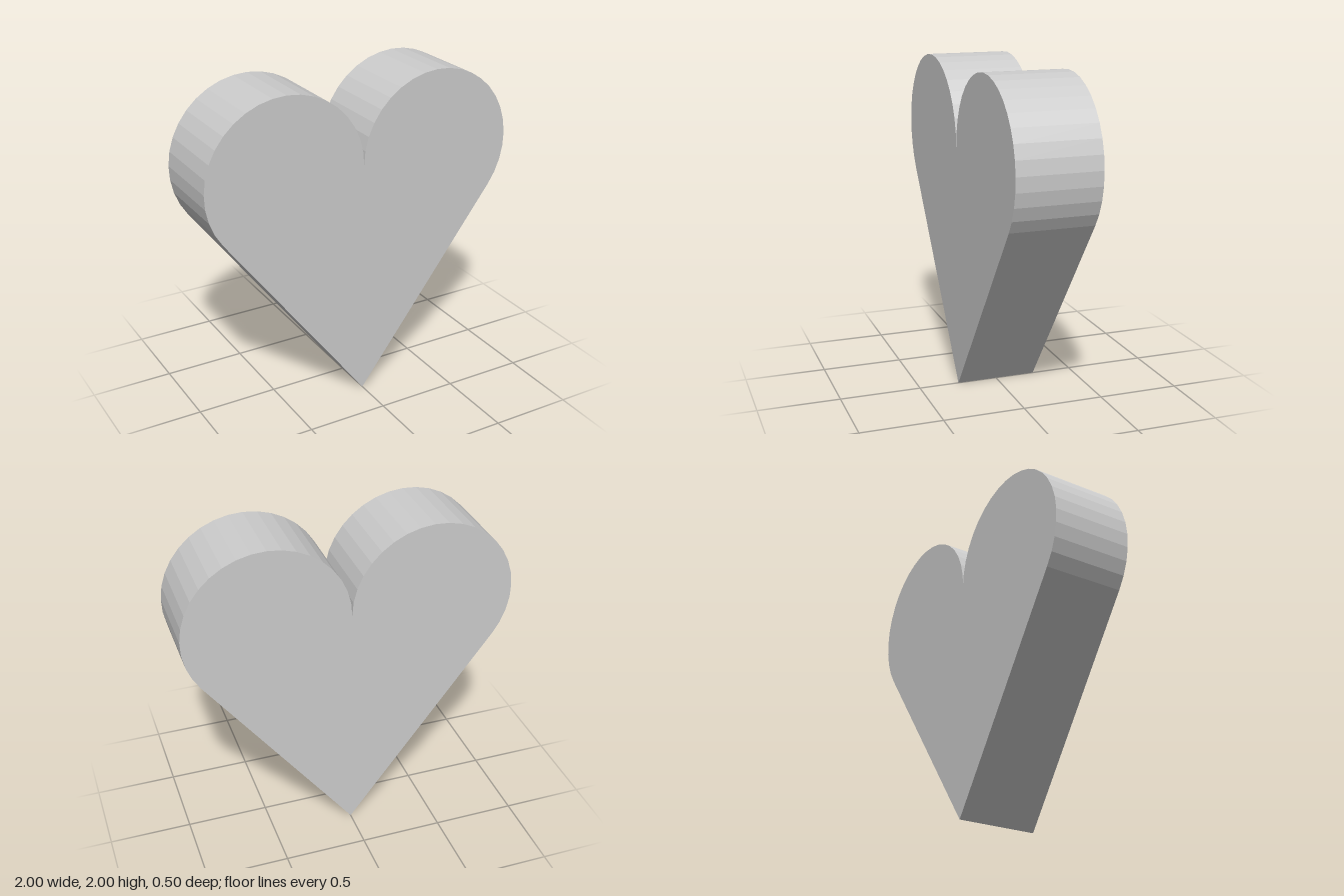
import * as THREE from 'three';

const RADIUS = 0.5;      // lobe radius
const LOBE_Y = 1.5;      // height of the lobe centres
const DEPTH = 0.5;
const FACETS = 22;       // flat facets around each lobe

// Right half of the outline: from the tangent point of the straight side up to the cleft
function lobePoints() {
  const start = -Math.atan2(3, 4);
  const points = [];
  for (let i = 0; i < FACETS; i++) {
    const a = start + (Math.PI - start) * i / FACETS;
    points.push(new THREE.Vector2(RADIUS + RADIUS * Math.cos(a), LOBE_Y + RADIUS * Math.sin(a)));
  }
  return points;
}

export function createModel() {
  const group = new THREE.Group();
  group.name = 'heart';

  // Outline: bottom tip, one lobe, cleft, mirrored lobe
  const lobe = lobePoints();
  const mirrored = lobe.map(p => new THREE.Vector2(-p.x, p.y)).reverse();
  const outline = new THREE.Shape([
    new THREE.Vector2(0, 0), ...lobe, new THREE.Vector2(0, LOBE_Y), ...mirrored,
  ]);

  // Straight-edged slab, centred on z
  const geometry = new THREE.ExtrudeGeometry(outline, { depth: DEPTH, bevelEnabled: false });
  geometry.translate(0, 0, -DEPTH / 2);

  const material = new THREE.MeshStandardMaterial({ color: 0xcccccc, flatShading: true });
  const body = new THREE.Mesh(geometry, material);
  body.name = 'heartBody';
  group.add(body);
  return group;
}
